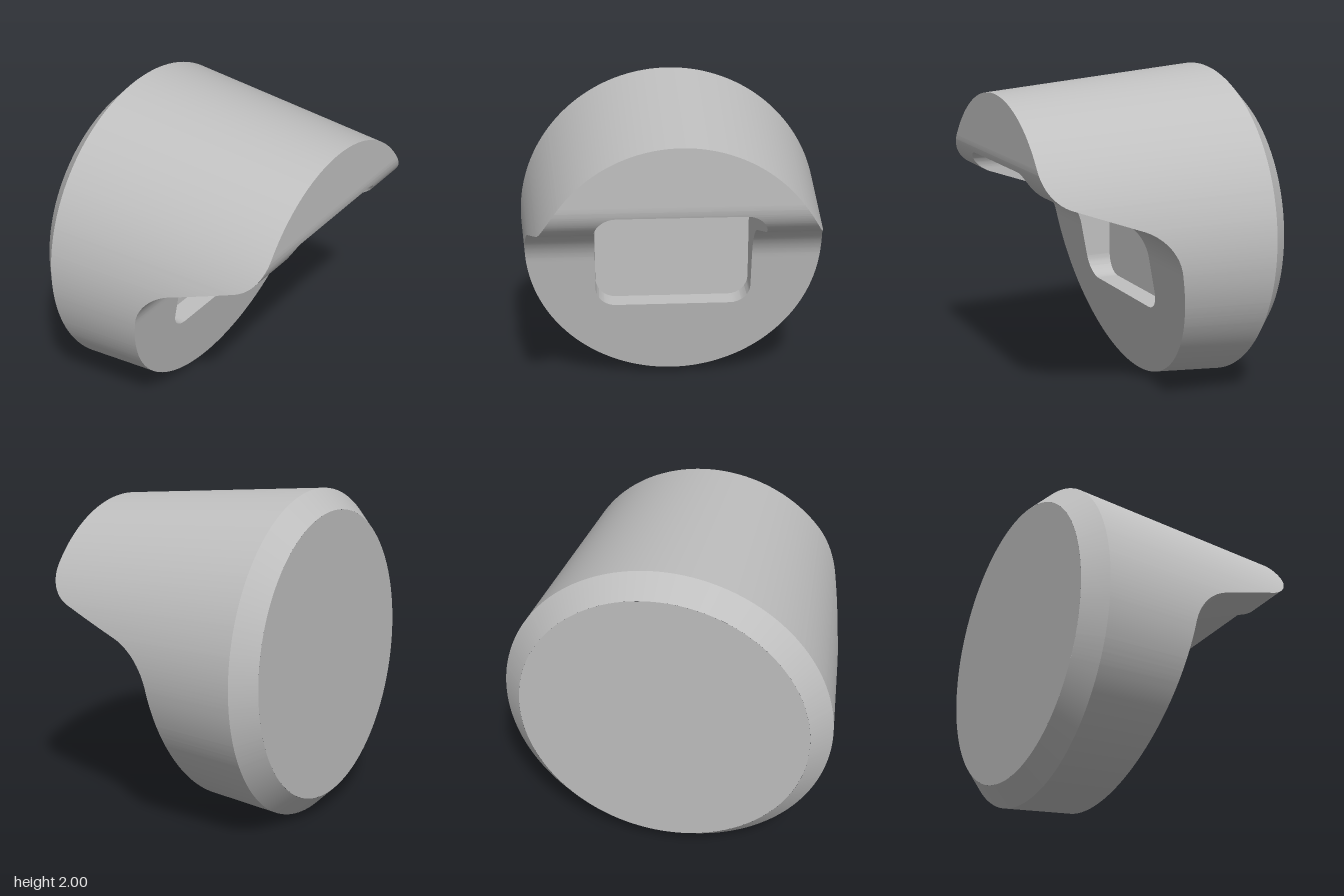
import * as THREE from 'three';

const V2 = (x, y) => new THREE.Vector2(x, y);
const V3 = (x, y, z) => new THREE.Vector3(x, y, z);

const BACK = -0.757, SHOULDER = -0.635, FRONT = 0.757, FLOOR = -0.25;
const HOLE = { half: 0.505, bottom: 0.548, top: 1.462, r: 0.13 };

// Radius of the tapered body at depth z
const radius = z => 1 - 0.0863 * (z - SHOULDER);

// Side profile of the front surface (z, y), listed upward, with two rounded corners
function roundedProfile() {
  const pts = [V2(-0.207, 0)];
  const fillet = (a, corner, b) => {
    const c = new THREE.CubicBezierCurve(a, a.clone().lerp(corner, 0.61), b.clone().lerp(corner, 0.61), b);
    pts.push(...c.getPoints(20));
  };
  fillet(V2(-0.04, 0.9), V2(-0.003, 1.099), V2(0.2, 1.17));
  fillet(V2(0.6, 1.31), V2(FRONT, 1.366), V2(FRONT, 1.53));
  pts.push(V2(FRONT, 2));
  return pts;
}
const profile = roundedProfile();

function frontZ(y) {
  const i = Math.max(1, profile.findIndex(p => p.y >= y));
  const a = profile[i - 1], b = profile[i];
  return a.x + (b.x - a.x) * (y - a.y) / (b.y - a.y);
}

// Half width of the body and of the pocket at height y
function bodyHalf(y) {
  const r = radius(frontZ(y));
  return Math.sqrt(Math.max(0, r * r - (y - 1) ** 2));
}
function holeHalf(y) {
  const { half, bottom, top, r } = HOLE;
  const d = Math.max(0, bottom + r - y, y - (top - r));
  return half - r + Math.sqrt(Math.max(0, r * r - d * d));
}

// Skin a list of equal-length point rows
function loft(rows, closed = false) {
  const n = rows[0].length, index = [];
  for (let i = 0; i < rows.length - 1; i++) {
    for (let j = 0; j < (closed ? n : n - 1); j++) {
      const k = (j + 1) % n;
      const a = i * n + j, b = i * n + k, c = b + n, d = a + n;
      index.push(a, b, c, a, c, d);
    }
  }
  const g = new THREE.BufferGeometry().setFromPoints(rows.flat());
  g.setIndex(index);
  g.computeVertexNormals();
  return g;
}

// Heights at which the front surface is sliced
function sliceHeights() {
  const yTop = 1 + radius(FRONT), yBottom = 1 - radius(-0.2);
  const ys = [HOLE.bottom, HOLE.top];
  for (let i = 0; i <= 80; i++) {
    ys.push((yTop + yBottom) / 2 - (yTop - yBottom) / 2 * Math.cos(Math.PI * i / 80));
  }
  for (let i = 1; i <= 8; i++) {
    const d = HOLE.r * (1 - Math.cos(Math.PI / 2 * i / 8));
    ys.push(HOLE.bottom + d, HOLE.top - d);
  }
  ys.push(...profile.slice(1, -1).map(p => p.y));
  ys.sort((a, b) => a - b);
  return ys.filter((y, i) => i === 0 || y - ys[i - 1] > 1e-5);
}

// Closed loop, anticlockwise from the front: up the +x side, down the -x side
function loopOf(ys, half, skipEnds) {
  const right = ys.map(y => V3(half(y), y, frontZ(y)));
  const left = right.map(p => V3(-p.x, p.y, p.z)).reverse();
  return right.concat(skipEnds ? left.slice(1, -1) : left);
}

export function createModel() {
  const group = new THREE.Group();
  const grey = new THREE.MeshStandardMaterial({ color: 0xc0c0c0 });
  grey.name = 'plain grey';
  const add = (name, geometry) => {
    const mesh = new THREE.Mesh(geometry, grey);
    mesh.name = name;
    group.add(mesh);
    return mesh;
  };

  const ys = sliceHeights();
  const low = ys.filter(y => y <= HOLE.bottom + 1e-6);
  const mid = ys.filter(y => y >= HOLE.bottom - 1e-6 && y <= HOLE.top + 1e-6);
  const high = ys.filter(y => y >= HOLE.top - 1e-6);

  // Front surface: full strips below and above the pocket, split strips beside it
  const strip = (list, from, to) => loft(list.map(y =>
    [V3(from(y), y, frontZ(y)), V3(to(y), y, frontZ(y))]));
  add('lowerFrontFace', strip(low, y => -bodyHalf(y), bodyHalf));
  add('upperFrontFace', strip(high, y => -bodyHalf(y), bodyHalf));
  add('leftFrontFace', strip(mid, holeHalf, bodyHalf));
  add('rightFrontFace', strip(mid, y => -bodyHalf(y), y => -holeHalf(y)));

  // Tapered outer wall, bevelled back edge and back disc
  const rim = loopOf(ys, bodyHalf, true);
  const circle = (r, z) => rim.map(p => {
    const a = Math.atan2(p.y - 1, p.x);
    return V3(r * Math.cos(a), 1 + r * Math.sin(a), z);
  });
  add('outerWall', loft([circle(1, SHOULDER), rim], true));
  add('backBevel', loft([circle(0.88, BACK), circle(1, SHOULDER)], true));
  const back = add('backDisc', new THREE.CircleGeometry(0.88, 96));
  back.rotation.y = Math.PI;
  back.position.set(0, 1, BACK);

  // Rounded rectangular pocket
  const pocketRim = loopOf(mid, holeHalf, false);
  const pocketBase = pocketRim.map(p => V3(p.x, p.y, FLOOR));
  add('pocketWall', loft([pocketRim, pocketBase], true));
  const floor = add('pocketFloor', new THREE.ShapeGeometry(
    new THREE.Shape(pocketBase.map(p => V2(p.x, p.y)))));
  floor.position.z = FLOOR;

  return group;
}
